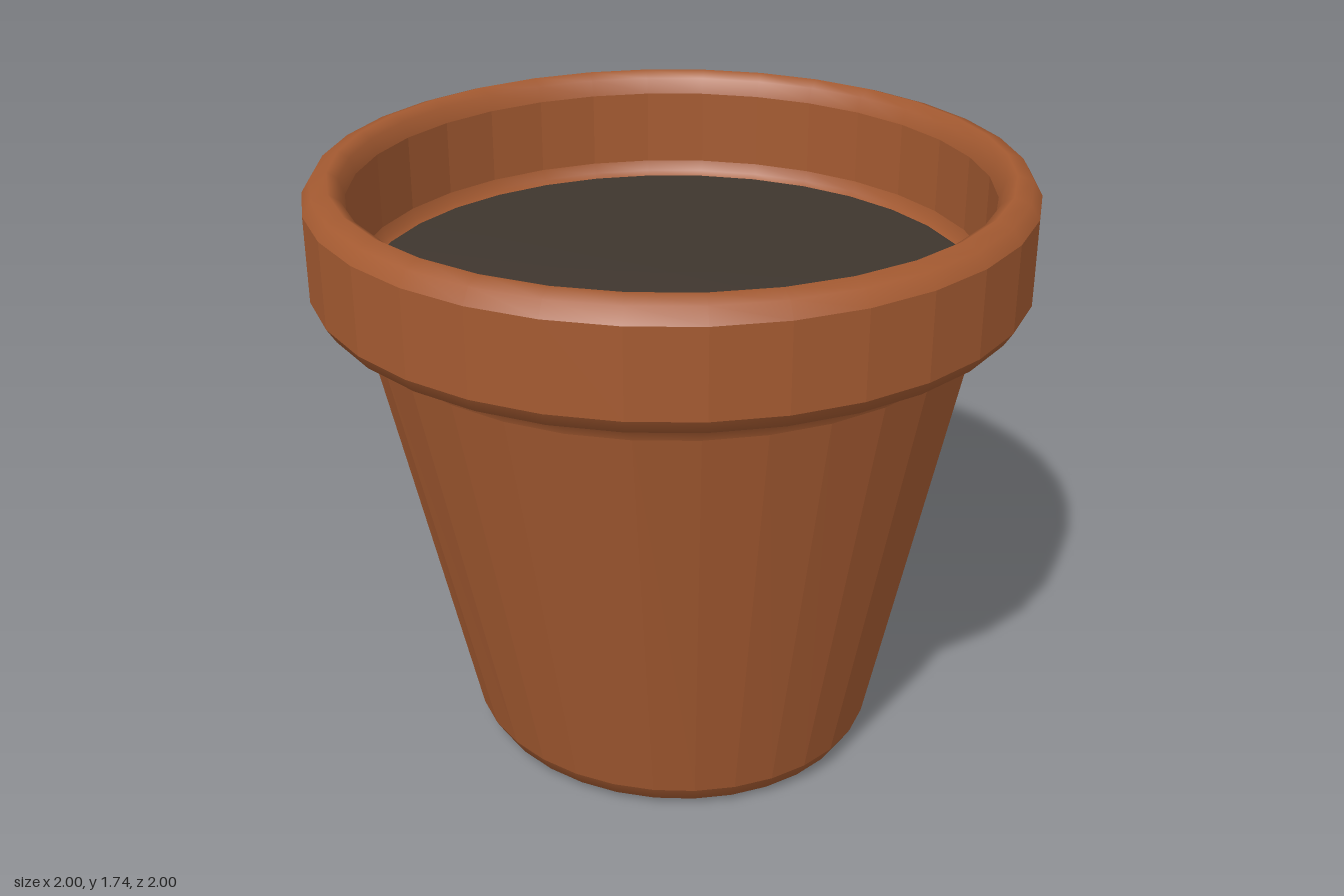
import * as THREE from 'three';

const SIDES = 32;

// The body is round at the collar and slightly narrower front to back at its foot.
function squashFoot(geometry) {
  const p = geometry.attributes.position;
  for (let i = 0; i < p.count; i++) {
    const t = Math.max(0, 1 - p.getY(i) / 1.32);
    p.setZ(i, p.getZ(i) * (1 - 0.053 * t));
  }
  return geometry;
}

// Turned section; faceted walls get one normal per face, bevels stay smooth.
function turned(profile, faceted) {
  let g = squashFoot(new THREE.LatheGeometry(profile.map(([r, y]) => new THREE.Vector2(r, y)), SIDES));
  if (faceted) {
    g = g.toNonIndexed();
    g.computeVertexNormals();
  }
  return g;
}

export function createModel() {
  const terracotta = new THREE.MeshStandardMaterial({ color: 0xa45a31 });
  terracotta.name = 'terracotta';
  const earth = new THREE.MeshStandardMaterial({ color: 0x3f362e });
  earth.name = 'dark soil';

  const group = new THREE.Group();
  group.name = 'flowerPot';
  const add = (name, profile, faceted, material = terracotta) => {
    const mesh = new THREE.Mesh(turned(profile, faceted), material);
    mesh.name = name;
    group.add(mesh);
  };

  // Foot and tapered body
  add('base', [[0, 0], [0.53, 0]], true);
  add('footBevel', [[0.53, 0], [0.58, 0.02], [0.61, 0.07]], false);
  add('bodyWall', [[0.61, 0.07], [0.857, 1.32]], true);

  // Collar: underside, outer band, rounded lip and inside wall
  add('collarUnderside', [[0.857, 1.32], [0.87, 1.355], [0.895, 1.37], [0.975, 1.4], [1, 1.44]], false);
  add('collarBand', [[1, 1.44], [1, 1.68]], true);
  add('lip', [[1, 1.68], [0.975, 1.72], [0.93, 1.735], [0.9, 1.715], [0.885, 1.67]], false);
  add('innerWall', [[0.885, 1.67], [0.885, 1.45]], true);
  add('innerLedge', [[0.885, 1.45], [0.875, 1.42], [0.855, 1.4], [0.82, 1.39]], false);

  // Soil fill, with a gently rounded edge
  add('soil', [[0.872, 1.405], [0.84, 1.412], [0, 1.415]], false, earth);

  return group;
}
